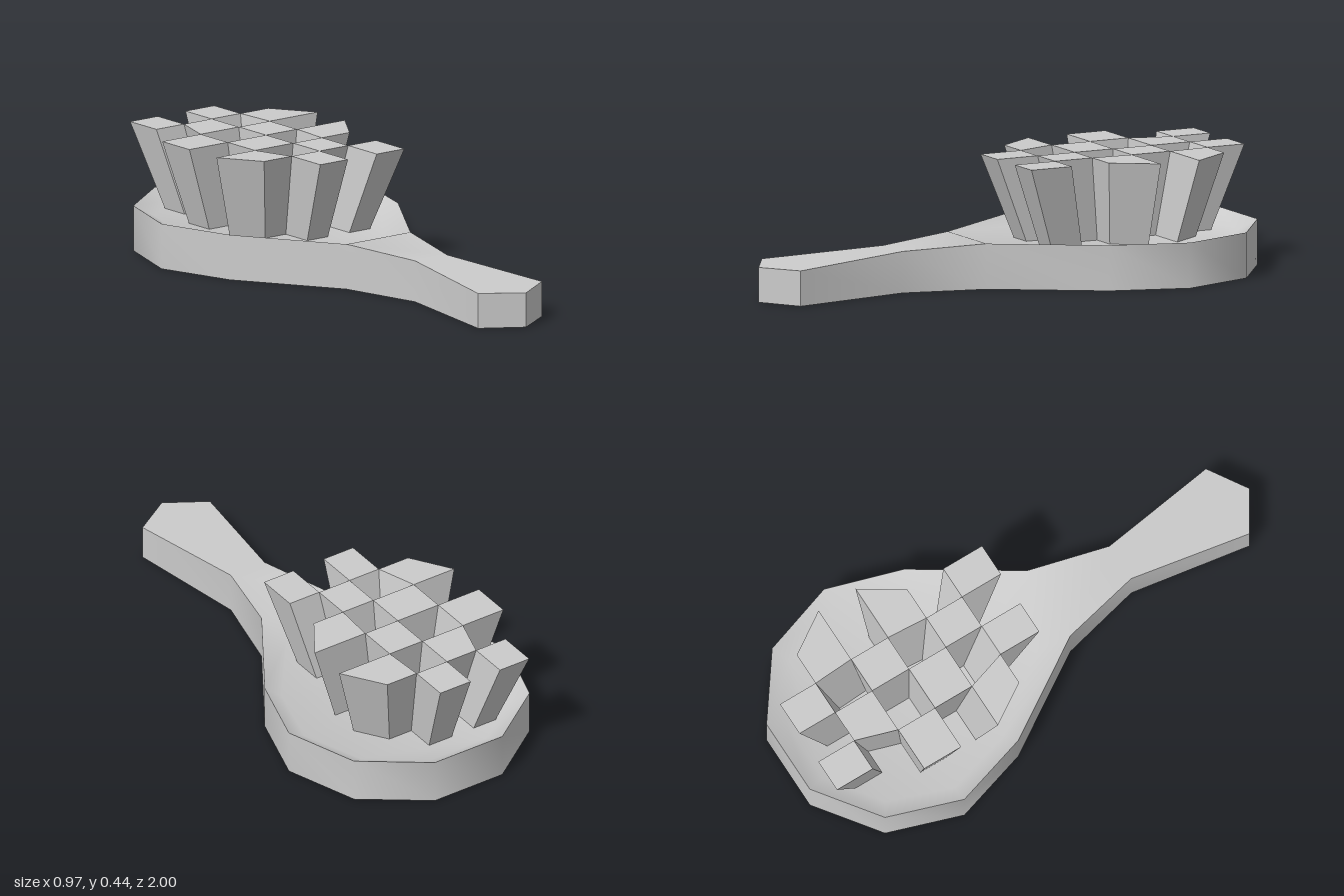
import * as THREE from 'three';
import { toCreasedNormals } from 'three/addons/utils/BufferGeometryUtils.js';

const RIM = 0.17, FLOOR = 0.13, TOP = 0.445;

// Cross-sections from back to front: [z, half width, top height]
const SECTIONS = [
  [-1, 0.15, RIM], [-0.825, 0.39, RIM], [-0.54, 0.485, RIM], [-0.25, 0.395, RIM], [0.13, 0.15, RIM],
  [0.44, 0.075, 0.155], [0.905, 0.15, 0.132], [1, 0, 0.13],
];
const HEAD = 5; // the first five sections belong to the head
// Edge of the sunken floor, one entry per head section: [z, half width]
const INNER = [[-0.93, 0.125], [-0.785, 0.325], [-0.54, 0.415], [-0.28, 0.34], [0.0, 0.125]];

function mesh(name, geometry) {
  const m = new THREE.Mesh(geometry, new THREE.MeshStandardMaterial({ color: 0xcccccc }));
  m.name = name;
  return m;
}

function bodyGeometry() {
  const pos = [];
  const tri = (...pts) => {
    const [a, b, c] = pts.map((p) => new THREE.Vector3(...p));
    if (new THREE.Triangle(a, b, c).getArea() > 1e-6) pts.forEach((p) => pos.push(...p));
  };
  const quad = (a, b, c, d) => { tri(a, b, c); tri(a, c, d); };
  // A quad and its mirror image across x = 0
  const mirrored = (...q) => {
    quad(...q);
    quad(...q.map(([x, y, z]) => [-x, y, z]).reverse());
  };
  // A strip across the body between two sections, facing up
  const across = (z0, w0, y0, z1, w1, y1) =>
    quad([-w0, y0, z0], [-w1, y1, z1], [w1, y1, z1], [w0, y0, z0]);

  for (let i = 0; i < SECTIONS.length - 1; i++) {
    const [z0, w0, y0] = SECTIONS[i], [z1, w1, y1] = SECTIONS[i + 1];
    // Side walls and underside
    mirrored([w0, 0, z0], [w0, y0, z0], [w1, y1, z1], [w1, 0, z1]);
    quad([-w0, 0, z0], [w0, 0, z0], [w1, 0, z1], [-w1, 0, z1]);
    if (i < HEAD - 1) {
      // Sloped rim and sunken floor
      const [iz0, iw0] = INNER[i], [iz1, iw1] = INNER[i + 1];
      mirrored([w0, y0, z0], [iw0, FLOOR, iz0], [iw1, FLOOR, iz1], [w1, y1, z1]);
      across(iz0, iw0, FLOOR, iz1, iw1, FLOOR);
    } else {
      // Handle top
      across(z0, w0, y0, z1, w1, y1);
    }
  }
  // Back wall, then the rim slopes at both ends of the head
  const [bz, bw] = SECTIONS[0], [nz, nw] = SECTIONS[HEAD - 1];
  quad([-bw, 0, bz], [-bw, RIM, bz], [bw, RIM, bz], [bw, 0, bz]);
  across(bz, bw, RIM, INNER[0][0], INNER[0][1], FLOOR);
  across(INNER[HEAD - 1][0], INNER[HEAD - 1][1], FLOOR, nz, nw, RIM);

  const g = new THREE.BufferGeometry();
  g.setAttribute('position', new THREE.Float32BufferAttribute(pos, 3));
  return toCreasedNormals(g, 0.7);
}

// Bristle tips fill a checkerboard whose columns widen in the middle rows
const ROW_Z = [-0.97, -0.815, -0.655, -0.495, -0.335, -0.18, -0.012];
const narrow = [-0.29, -0.16, -0.03, 0.105, 0.235];
const wide = [-0.39, -0.21, -0.03, 0.115, 0.34];
const ROW_X = [narrow, narrow, wide, wide, [-0.39, -0.21, -0.03, 0.105, 0.235], narrow, narrow];
const CENTRE_X = -0.025, CENTRE_Z = -0.488;

function bristleGeometry(row, col) {
  const base = FLOOR - 0.01;
  const g = new THREE.BoxGeometry(1, 1, 1).toNonIndexed();
  const p = g.attributes.position;
  for (let i = 0; i < p.count; i++) {
    const r = row + (p.getZ(i) > 0 ? 1 : 0), c = col + (p.getX(i) > 0 ? 1 : 0);
    const y = p.getY(i) > 0 ? TOP : base;
    // Every bristle leans towards the centre as it goes down
    const s = 1 - 0.8 * (TOP - y);
    p.setXYZ(i, CENTRE_X + (ROW_X[r][c] - CENTRE_X) * s, y, CENTRE_Z + (ROW_Z[r] - CENTRE_Z) * s);
  }
  g.computeVertexNormals();
  return g;
}

export function createModel() {
  const model = new THREE.Group();
  model.name = 'hairbrush';
  model.add(mesh('headAndHandle', bodyGeometry()));

  const bristles = new THREE.Group();
  bristles.name = 'bristles';
  for (let row = 0; row < 6; row++) {
    for (let col = row % 2; col < 4; col += 2) {
      bristles.add(mesh('bristle', bristleGeometry(row, col)));
    }
  }
  model.add(bristles);
  return model;
}
